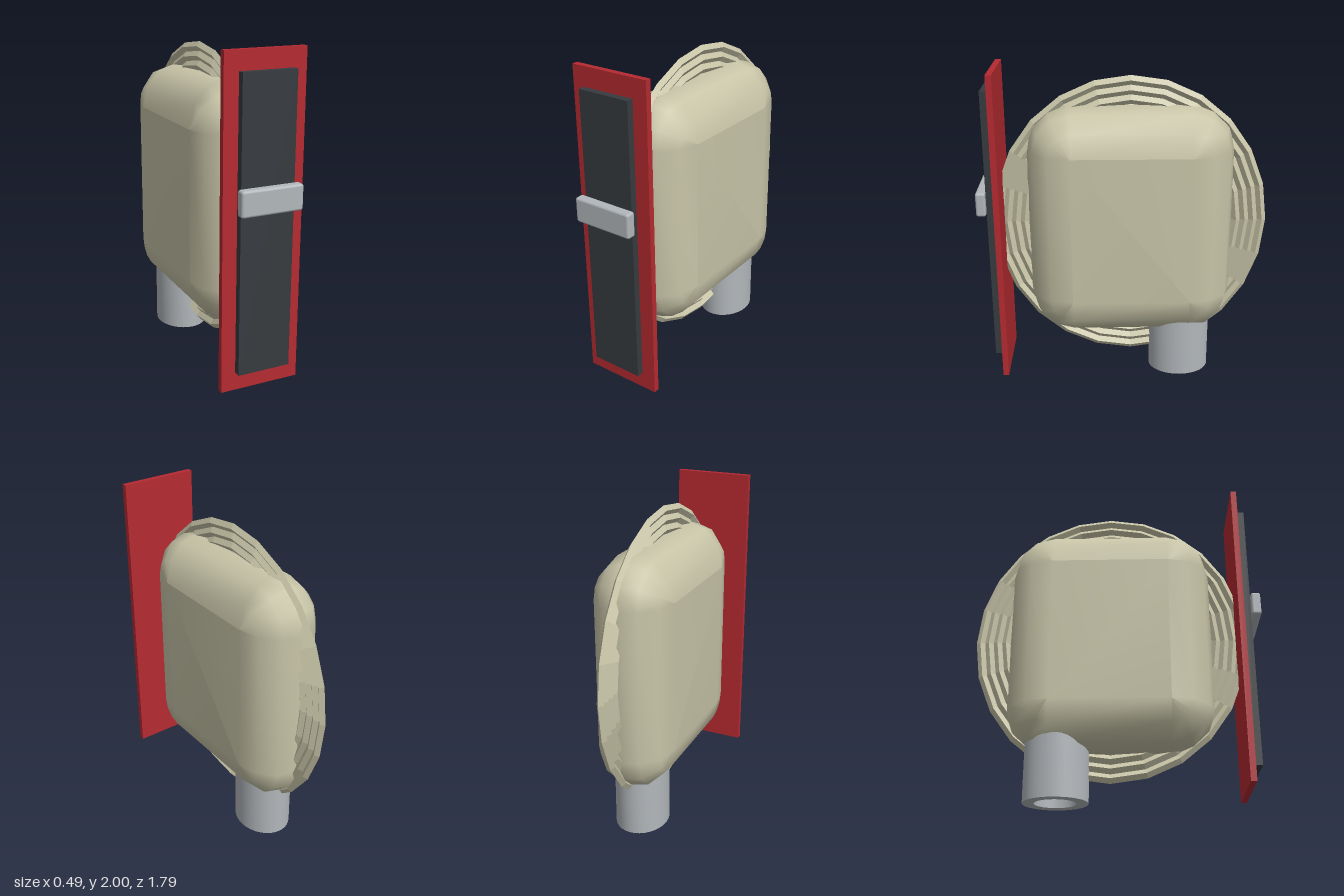
import * as THREE from 'three';
import { toCreasedNormals } from 'three/addons/utils/BufferGeometryUtils.js';
import { RoundedBoxGeometry } from 'three/addons/geometries/RoundedBoxGeometry.js';

const material = (color, flatShading = false) => new THREE.MeshStandardMaterial({ color, flatShading });

// Puffy box: rounded-rectangle sections stacked along x, drawn in at both ends
function pillowGeometry(halfX, halfY, halfZ, radius) {
  const steps = 3, positions = [], index = [];
  const ringSize = 4 * (steps + 1), levels = 2 * steps + 1;
  for (let i = 0; i < levels; i++) {
    const a = -Math.PI / 2 + (i / (levels - 1)) * Math.PI;
    const r = radius * Math.max(Math.cos(a), 0.001);
    for (let c = 0; c < 4; c++) {
      const sz = c === 0 || c === 3 ? 1 : -1, sy = c < 2 ? 1 : -1;
      for (let k = 0; k <= steps; k++) {
        const t = (c + k / steps) * Math.PI / 2;
        positions.push(halfX * Math.sin(a),
          sy * (halfY - radius) + r * Math.sin(t),
          sz * (halfZ - radius) + r * Math.cos(t));
      }
    }
  }
  for (let i = 0; i < levels - 1; i++) {
    for (let j = 0; j < ringSize; j++) {
      const k = (j + 1) % ringSize;
      const a = i * ringSize + j, b = i * ringSize + k;
      index.push(a, a + ringSize, b, b, a + ringSize, b + ringSize);
    }
  }
  // Flat side faces
  const last = (levels - 1) * ringSize;
  for (let j = 1; j < ringSize - 1; j++) {
    index.push(0, j, j + 1, last, last + j + 1, last + j);
  }
  const g = new THREE.BufferGeometry();
  g.setAttribute('position', new THREE.Float32BufferAttribute(positions, 3));
  g.setIndex(index);
  g.computeVertexNormals();
  return g;
}

export function createModel() {
  const model = new THREE.Group();
  const add = (name, geometry, mat, x, y, z, parent = model) => {
    const mesh = new THREE.Mesh(geometry, mat);
    mesh.name = name;
    mesh.position.set(x, y, z);
    parent.add(mesh);
    return mesh;
  };
  const cream = 0xc8c5a8, metal = material(0xb2b7bb);

  // Padded body
  add('body', pillowGeometry(0.235, 0.738, 0.635, 0.27), material(cream), 0, 1.032, -0.04);

  // Nested ridged rings around the body
  const rings = new THREE.Group();
  rings.name = 'rings';
  rings.position.set(0, 1.032, -0.04);
  rings.scale.set(0.75, 1, 0.93);
  model.add(rings);
  const ringMaterial = material(cream, true);
  for (let i = 0; i < 5; i++) {
    const g = new THREE.TorusGeometry(0.888 - i * 0.058, 0.029, 4, 24).rotateY(Math.PI / 2);
    add('ring' + (i + 1), g, ringMaterial, 0, 0, 0, rings);
  }

  // Hollow oval pipe below
  const profile = [[0.125, 0], [0.195, 0], [0.195, 0.46], [0.125, 0.46], [0.125, 0]]
    .map(([r, y]) => new THREE.Vector2(r, y));
  const pipe = toCreasedNormals(new THREE.LatheGeometry(profile, 32), 0.6);
  add('pipe', pipe, metal, 0, 0, -0.36).scale.x = 0.84;

  // Front plate, dark panel and cross handle
  add('frontPlate', new THREE.BoxGeometry(0.49, 1.94, 0.036), material(0xb52a31), 0, 1.03, 0.766);
  add('frontPanel', new THREE.BoxGeometry(0.325, 1.715, 0.042), material(0x373b3f), 0, 1.033, 0.814);
  add('handle', new RoundedBoxGeometry(0.375, 0.15, 0.06, 2, 0.015), metal, 0, 1.205, 0.867);

  return model;
}
